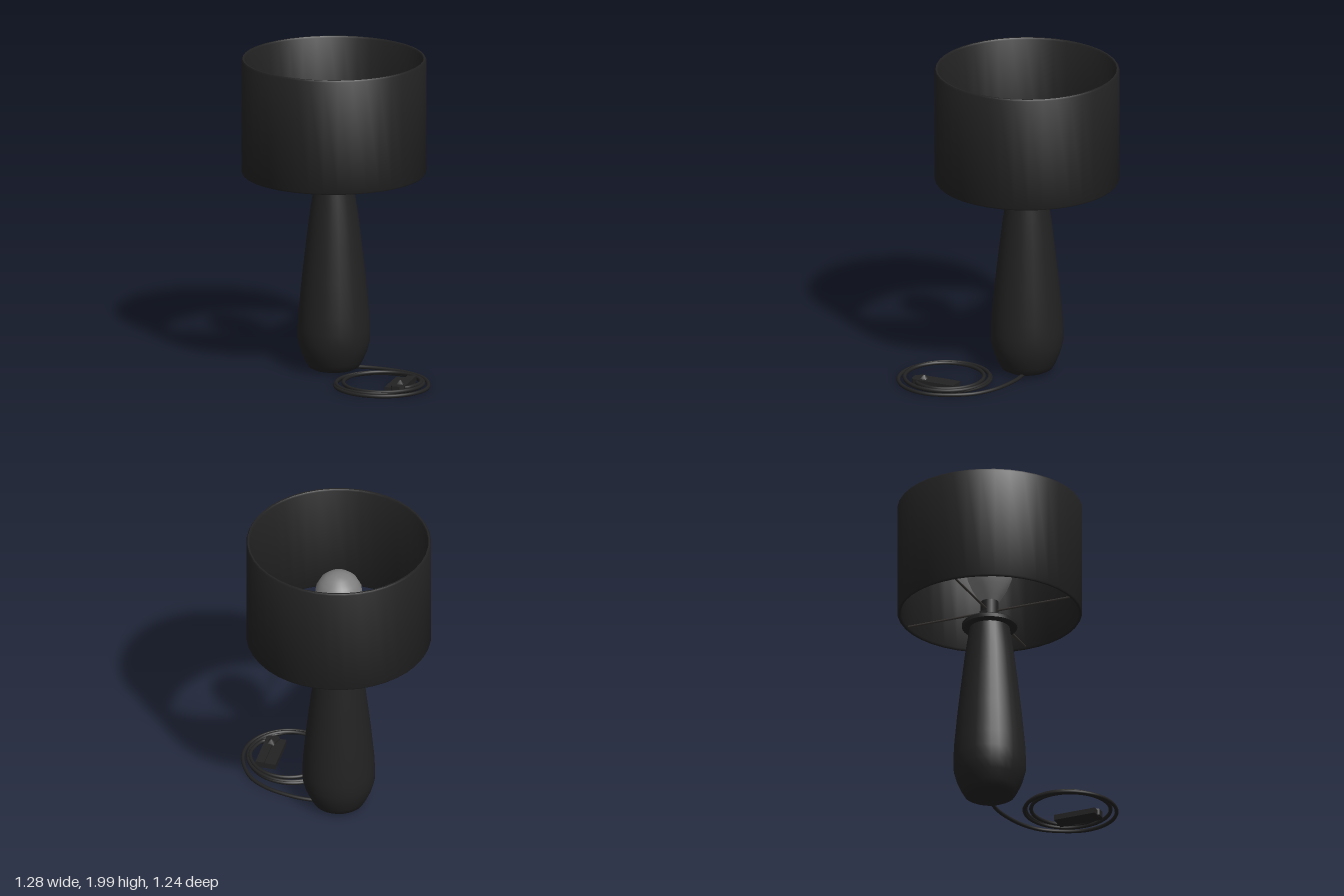
import * as THREE from 'three';
import { toCreasedNormals } from 'three/addons/utils/BufferGeometryUtils.js';

const mat = (name, color) => Object.assign(new THREE.MeshStandardMaterial({ color }), { name });

export function createModel() {
  const root = new THREE.Group();
  root.name = 'tableLamp';
  const black = mat('black', 0x222222);
  const bulbGrey = mat('bulb grey', 0x808080);
  const wireGrey = mat('wire grey', 0x3a3634);

  const add = (parent, name, geo, material, x = 0, y = 0, z = 0) => {
    const mesh = new THREE.Mesh(geo, material);
    mesh.name = name;
    mesh.position.set(x, y, z);
    parent.add(mesh);
    return mesh;
  };
  const lathe = (pts, sides) => toCreasedNormals(
    new THREE.LatheGeometry(pts.map(([r, y]) => new THREE.Vector2(r, y)), sides), 0.7);

  // Everything turned about the lamp's axis
  const lamp = new THREE.Group();
  lamp.name = 'lamp';
  lamp.position.set(-0.066, 0, -0.041);
  root.add(lamp);

  // Bottle-shaped base
  add(lamp, 'base', lathe([
    [0, 0.02], [0.13, 0.02], [0.158, 0.035], [0.178, 0.07], [0.205, 0.13], [0.224, 0.2],
    [0.225, 0.28], [0.22, 0.38], [0.199, 0.6], [0.176, 0.8], [0.152, 1.0], [0.124, 1.18], [0, 1.18],
  ], 28), black);

  // Collar, its two clips and the neck
  add(lamp, 'collar', lathe([
    [0, 1.17], [0.165, 1.17], [0.172, 1.177], [0.172, 1.2], [0.165, 1.207], [0, 1.207],
  ], 28), black);
  for (const s of [-1, 1]) {
    add(lamp, 'collarClip', new THREE.BoxGeometry(0.035, 0.045, 0.04), black, s * 0.092, 1.225, 0);
  }
  add(lamp, 'socket', new THREE.CylinderGeometry(0.056, 0.056, 0.17, 20), black, 0, 1.285, 0);

  // Bulb
  add(lamp, 'bulb', lathe([
    [0.05, 1.34], [0.075, 1.38], [0.11, 1.44], [0.138, 1.51], [0.15, 1.59],
    [0.141, 1.65], [0.115, 1.7], [0.075, 1.735], [0.035, 1.751], [0, 1.755],
  ], 28), bulbGrey);

  // Thin drum shade with rounded rims
  add(lamp, 'shade', lathe([
    [0.55, 1.28], [0.557, 1.27], [0.567, 1.27], [0.573, 1.28], [0.573, 1.99],
    [0.567, 2.0], [0.557, 2.0], [0.55, 1.99], [0.55, 1.28],
  ], 40), black);

  // Crossed wires carrying the shade
  for (const turn of [0, Math.PI / 2]) {
    const wire = add(lamp, 'shadeWire', new THREE.CylinderGeometry(0.007, 0.007, 1.11, 8), wireGrey, 0, 1.285, 0);
    wire.rotation.set(turn, 0, turn ? 0 : Math.PI / 2);
  }

  // Cord: leaves the base, then winds into a loose coil
  const path = [[0.0, 0.028, -0.07], [0.15, 0.028, -0.08], [0.28, 0.028, -0.062],
    [0.4, 0.028, -0.025], [0.51, 0.028, 0.045], [0.585, 0.028, 0.15]];
  const step = Math.PI / 8;
  const turns = 3;
  for (let i = 0; i <= 16 * turns; i++) {
    const a = -0.12 + i * step;
    const t = i / (16 * turns);
    const r = 0.287 - 0.045 * t + 0.008 * Math.sin(a * 0.7);
    const cx = 0.335 + 0.012 * Math.cos(a * 0.4);
    path.push([cx + r * Math.cos(a), 0.026 + 0.025 * t, 0.322 + r * Math.sin(a)]);
  }
  path.push([0.54, 0.05, 0.42], [0.49, 0.045, 0.44]);
  const curve = new THREE.CatmullRomCurve3(path.map(p => new THREE.Vector3(...p)));
  add(root, 'cord', new THREE.TubeGeometry(curve, 260, 0.012, 8), black);

  // Plug lying inside the coil
  const plug = new THREE.Group();
  plug.name = 'plug';
  root.add(plug);
  const outline = new THREE.Shape([[0.47, 0.18], [0.525, 0.18], [0.525, 0.46], [0.5, 0.475],
    [0.45, 0.475], [0.44, 0.455], [0.47, 0.37]].map(([x, z]) => new THREE.Vector2(x, -z)));
  const body = new THREE.ExtrudeGeometry(outline, { depth: 0.04, bevelEnabled: false });
  // The outline runs clockwise in plan; extrusion is turned to point up
  body.rotateX(-Math.PI / 2);
  add(plug, 'plugBody', body, black, 0, 0.024, 0);
  add(plug, 'plugSide', new THREE.BoxGeometry(0.075, 0.035, 0.275), black, 0.437, 0.036, 0.327);
  const ridge = add(plug, 'plugRidge', new THREE.CylinderGeometry(0.008, 0.032, 0.03, 4), black, 0.482, 0.074, 0.4);
  ridge.rotation.y = Math.PI / 4;
  return root;
}
